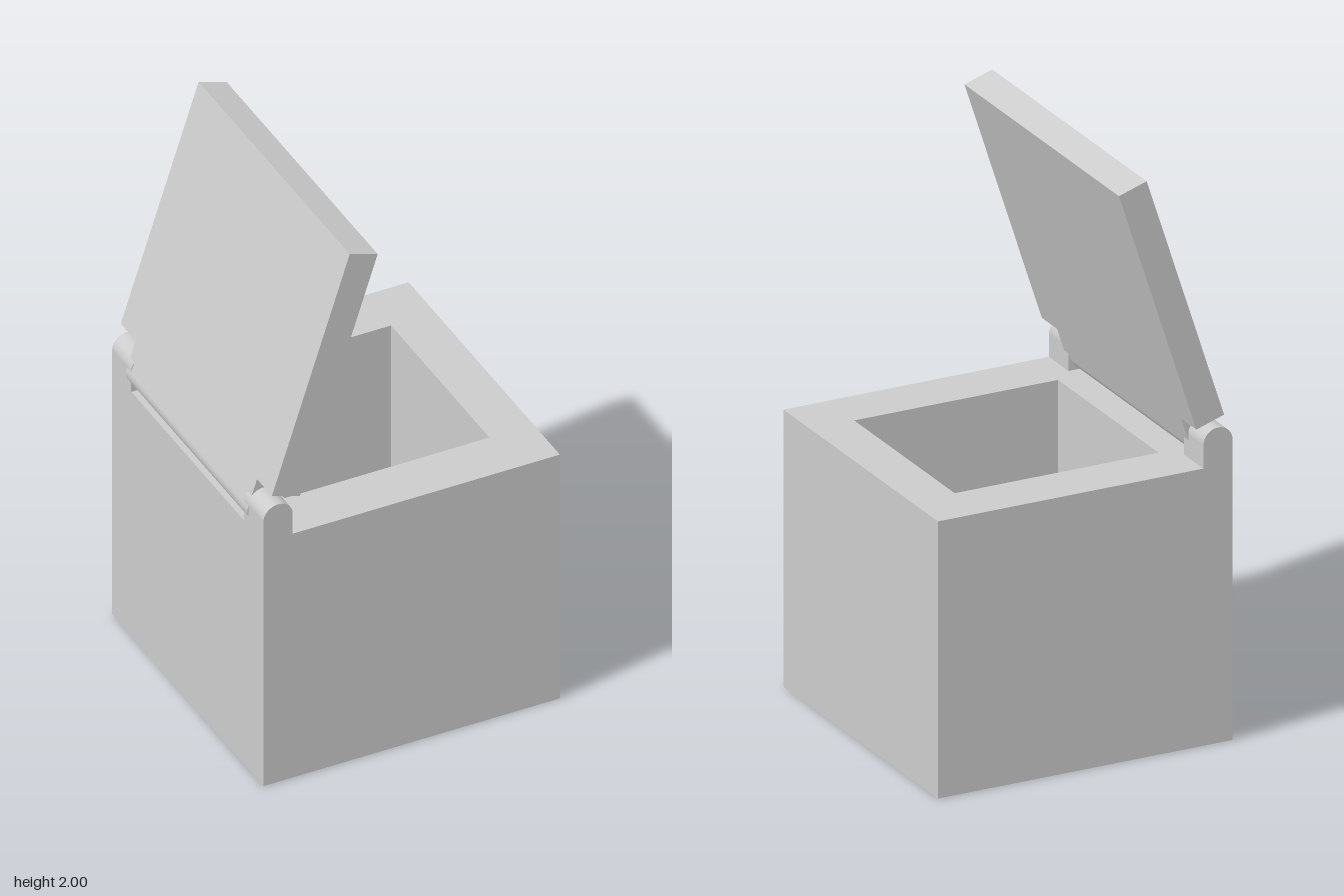
import * as THREE from 'three';

const W = 1.07, HALF = W / 2;        // outer width of box and lid
const LEFT = -0.533, RIGHT = 0.537;  // box sides in x
const BOX_H = 0.963, FLOOR = 0.16;
const T = 0.106;                     // thickness of lid and hinge ears

const material = new THREE.MeshStandardMaterial({ color: 0xcccccc });

function rectangle(Type, x0, y0, x1, y1) {
  const p = new Type();
  p.moveTo(x0, y0);
  p.lineTo(x1, y0);
  p.lineTo(x1, y1);
  p.lineTo(x0, y1);
  p.closePath();
  return p;
}

// Upright strip of thickness T with one semicircular end at the origin
function roundedStrip(length, width) {
  const r = T / 2;
  const s = new THREE.Shape();
  s.moveTo(r, -length);
  s.lineTo(r, 0);
  s.absarc(0, 0, r, 0, Math.PI, false);
  s.lineTo(-r, -length);
  s.closePath();
  const g = new THREE.ExtrudeGeometry(s, { depth: width, bevelEnabled: false, curveSegments: 24 });
  return g.translate(0, 0, -width / 2);
}

function add(parent, name, geometry, x = 0, y = 0, z = 0) {
  const m = new THREE.Mesh(geometry, material);
  m.name = name;
  m.position.set(x, y, z);
  parent.add(m);
  return m;
}

export function createModel() {
  const model = new THREE.Group();
  model.name = 'hingedBox';

  // Thick-walled body, extruded upwards, with a square cavity
  const cavity = { x0: -0.362, x1: 0.378, z: 0.348 };
  const outline = rectangle(THREE.Shape, LEFT, -HALF, RIGHT, HALF);
  outline.holes.push(rectangle(THREE.Path, cavity.x0, -cavity.z, cavity.x1, cavity.z));
  const walls = new THREE.ExtrudeGeometry(outline, { depth: BOX_H, bevelEnabled: false });
  add(model, 'boxWalls', walls.rotateX(-Math.PI / 2));
  add(model, 'boxFloor', new THREE.BoxGeometry(cavity.x1 - cavity.x0, FLOOR, cavity.z * 2),
    (cavity.x0 + cavity.x1) / 2, FLOOR / 2, 0);

  // Round-topped hinge ears at the two corners
  const earWidth = 0.135, earY = 1.043;
  for (const side of [1, -1]) {
    add(model, side > 0 ? 'frontHingeEar' : 'backHingeEar', roundedStrip(earY - BOX_H, earWidth),
      LEFT + T / 2, earY, side * (HALF - earWidth / 2));
  }

  // Open lid, leaning over the box and pivoting at its rounded lower end
  const lid = new THREE.Group();
  lid.name = 'lid';
  lid.position.set(-0.484, 1.02, 0);
  lid.rotation.z = -Math.PI / 10;
  model.add(lid);

  const notch = 0.105, length = 1.014;
  add(lid, 'lidPanel', new THREE.BoxGeometry(T, length - notch, W), 0, (length + notch) / 2, 0);
  add(lid, 'lidKnuckle', roundedStrip(notch, 0.86).rotateZ(Math.PI));

  return model;
}
